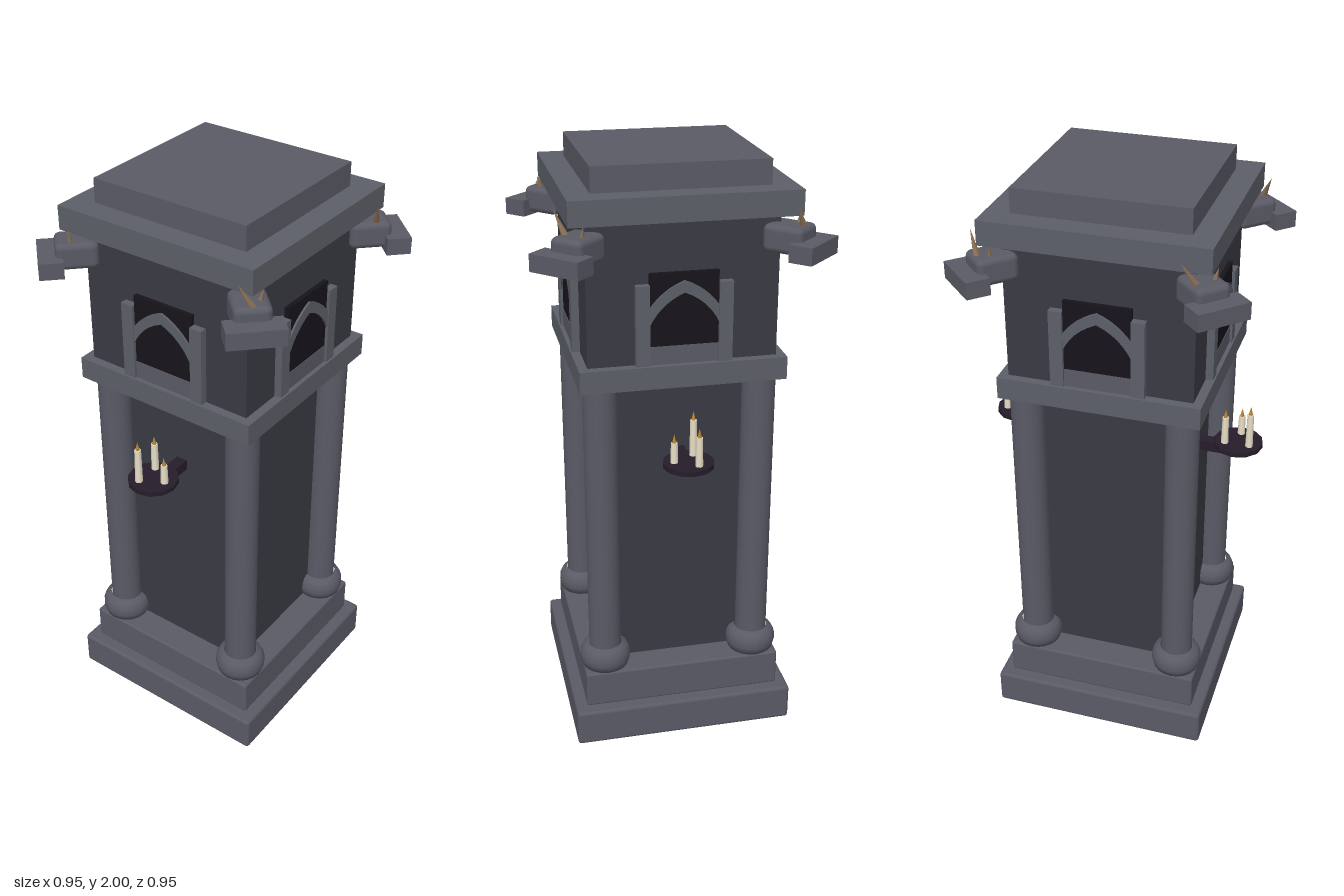
import * as THREE from 'three';
import { RoundedBoxGeometry } from 'three/addons/geometries/RoundedBoxGeometry.js';

const mat = (color, extra = {}) => new THREE.MeshStandardMaterial({ color, ...extra });
const stone = mat(0x5a5a66), trim = mat(0x5c5f68), wall = mat(0x3a3a44), dark = mat(0x17131b);
const iron = mat(0x251d2a), wax = mat(0xe8dfc8), flame = mat(0xb8862e), horn = mat(0x8a7055);

function add(parent, name, geometry, material, x = 0, y = 0, z = 0) {
  const mesh = new THREE.Mesh(geometry, material);
  mesh.name = name;
  mesh.position.set(x, y, z);
  parent.add(mesh);
  return mesh;
}

// Box given by its size and the height of its underside
function box(parent, name, material, w, h, d, x, y, z, radius = 0) {
  const g = radius ? new RoundedBoxGeometry(w, h, d, 2, radius) : new THREE.BoxGeometry(w, h, d);
  return add(parent, name, g, material, x, y + h / 2, z);
}

// Cone running from a base point to a tip
function spike(parent, name, from, to, r) {
  const a = new THREE.Vector3(...from), dir = new THREE.Vector3(...to).sub(a);
  const g = new THREE.ConeGeometry(r, dir.length(), 6);
  g.translate(0, dir.length() / 2, 0);
  const mesh = add(parent, name, g, horn, ...from);
  mesh.quaternion.setFromUnitVectors(new THREE.Vector3(0, 1, 0), dir.normalize());
}

// Pointed arch strip between the window posts
function archGeometry() {
  const s = new THREE.Shape();
  s.moveTo(-0.115, 1.5);
  s.lineTo(-0.115, 1.56);
  s.quadraticCurveTo(-0.07, 1.625, 0, 1.65);
  s.quadraticCurveTo(0.07, 1.625, 0.115, 1.56);
  s.lineTo(0.115, 1.5);
  s.quadraticCurveTo(0.08, 1.58, 0, 1.612);
  s.quadraticCurveTo(-0.08, 1.58, -0.115, 1.5);
  return new THREE.ExtrudeGeometry(s, { depth: 0.035, bevelEnabled: false, curveSegments: 6 });
}

function windowBay() {
  const bay = new THREE.Group();
  bay.name = 'windowBay';
  box(bay, 'windowRecess', dark, 0.22, 0.235, 0.04, 0, 1.44, 0.3);
  box(bay, 'windowSill', stone, 0.22, 0.06, 0.04, 0, 1.38, 0.302);
  for (const s of [-1, 1]) box(bay, 'windowPost', trim, 0.044, 0.26, 0.05, s * 0.132, 1.38, 0.305);
  add(bay, 'windowArch', archGeometry(), trim, 0, 0, 0.292);
  return bay;
}

// Head and jutting slab set on the diagonal of a corner
function cornerHead(sx, sz) {
  const head = new THREE.Group();
  head.name = 'cornerHead';
  head.rotation.y = Math.atan2(sx, sz);
  box(head, 'headBlock', stone, 0.115, 0.088, 0.135, 0, 1.724, 0.462, 0.02);
  box(head, 'snoutSlab', stone, 0.177, 0.055, 0.078, 0, 1.715, 0.545);
  return head;
}

// Shelf with three candles
function candleShelf(z) {
  const shelf = new THREE.Group();
  shelf.name = 'candleShelf';
  shelf.position.z = z;
  add(shelf, 'shelfPlate', new THREE.CylinderGeometry(0.084, 0.084, 0.016, 12), iron, 0, 1.063, 0);
  for (const [x, dz, top] of [[-0.025, 0.042, 1.195], [0.047, 0, 1.14], [-0.025, -0.042, 1.17]]) {
    const h = top - 1.07;
    add(shelf, 'candle', new THREE.CylinderGeometry(0.011, 0.013, h, 8), wax, x, 1.07 + h / 2, dz);
    add(shelf, 'flame', new THREE.ConeGeometry(0.008, 0.032, 6), flame, x, top + 0.014, dz);
  }
  return shelf;
}

export function createModel() {
  const model = new THREE.Group();
  model.name = 'stoneTower';

  // Stepped base, shaft, upper storey and cap
  box(model, 'lowerPlinth', stone, 0.764, 0.13, 0.764, 0, 0, 0, 0.012);
  box(model, 'upperPlinth', stone, 0.684, 0.13, 0.684, 0, 0.13, 0, 0.008);
  box(model, 'shaft', wall, 0.48, 1.04, 0.48, 0, 0.26, 0);
  box(model, 'ledge', trim, 0.67, 0.075, 0.67, 0, 1.303, 0);
  box(model, 'upperStorey', wall, 0.61, 0.465, 0.61, 0, 1.377, 0);
  box(model, 'roofSlab', trim, 0.72, 0.08, 0.72, 0, 1.84, 0);
  box(model, 'roofCap', stone, 0.56, 0.08, 0.56, 0, 1.92, 0);

  // Corner columns with swelling feet, and corner heads
  const foot = [[0, 0.26], [0.08, 0.26], [0.087, 0.285], [0.086, 0.31], [0.076, 0.331], [0.058, 0.342]]
    .map(([x, y]) => new THREE.Vector2(x, y));
  for (const sx of [-1, 1]) for (const sz of [-1, 1]) {
    add(model, 'column', new THREE.CylinderGeometry(0.055, 0.055, 1.02, 20), stone, sx * 0.263, 0.81, sz * 0.263);
    add(model, 'columnFoot', new THREE.LatheGeometry(foot, 20), stone, sx * 0.263, 0, sz * 0.263);
    model.add(cornerHead(sx, sz));
    // Horns lean the opposite way on alternate corners
    if (sx !== sz) {
      spike(model, 'horn', [sx * 0.357, 1.795, sz * 0.32], [sx * 0.39, 1.88, sz * 0.275], 0.014);
      spike(model, 'horn', [sx * 0.32, 1.795, sz * 0.357], [sx * 0.315, 1.848, sz * 0.368], 0.012);
    } else {
      spike(model, 'horn', [sx * 0.365, 1.795, sz * 0.355], [sx * 0.33, 1.88, sz * 0.39], 0.014);
      spike(model, 'horn', [sx * 0.355, 1.795, sz * 0.32], [sx * 0.368, 1.848, sz * 0.315], 0.012);
    }
  }

  // One window on each side
  for (let i = 0; i < 4; i++) {
    const bay = windowBay();
    bay.rotation.y = i * Math.PI / 2;
    model.add(bay);
  }

  // Candle shelves on brackets at front and back
  for (const s of [-1, 1]) {
    model.add(candleShelf(s * 0.393));
    box(model, 'shelfBracket', iron, 0.04, 0.036, 0.17, 0, 1.02, s * 0.315);
  }
  return model;
}
